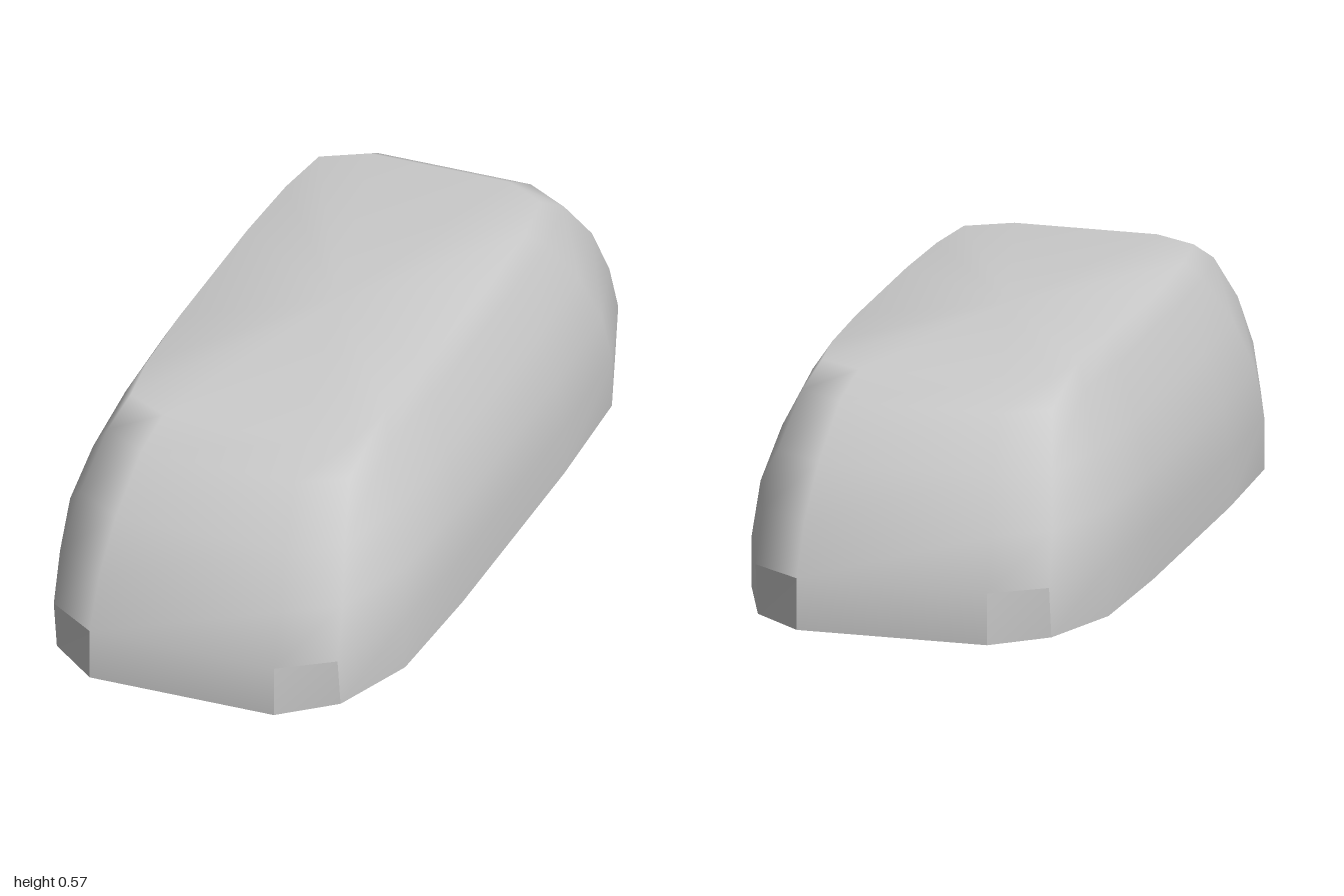
import * as THREE from 'three';

// Level heights: y, half width, half length, front-edge x, corner x
const LEVELS = [
  [0.00, 0.463, 1.00, 0.24, 0.37],
  [0.13, 0.463, 1.00, 0.24, 0.37],
  [0.26, 0.450, 0.95, 0.235, 0.365],
  [0.39, 0.408, 0.88, 0.22, 0.345],
  [0.515, 0.352, 0.765, 0.20, 0.315],
  [0.57, 0.320, 0.67, 0.18, 0.29],
];

// One closed outline of 16 points, counter-clockwise from above
function outline([y, w, l, edgeX, cornerX]) {
  const cornerZ = y === 0 ? 0.89 : 0.91 * l;
  const quarter = [[edgeX, l], [cornerX, cornerZ], [w * 0.972, l * 0.67], [w, l * 0.33]];
  const back = [...quarter].reverse();
  return [
    ...quarter.map(([x, z]) => [x, y, z]),
    ...back.map(([x, z]) => [x, y, -z]),
    ...quarter.map(([x, z]) => [-x, y, -z]),
    ...back.map(([x, z]) => [-x, y, z]),
  ];
}

function meshFrom(name, points, index) {
  const geometry = new THREE.BufferGeometry();
  geometry.setAttribute('position', new THREE.Float32BufferAttribute(points.flat(), 3));
  geometry.setIndex(index);
  geometry.computeVertexNormals();
  const mesh = new THREE.Mesh(geometry, new THREE.MeshStandardMaterial({ color: 0xcccccc }));
  mesh.name = name;
  return mesh;
}

export function createModel() {
  const model = new THREE.Group();
  model.name = 'roundedBody';

  const rings = LEVELS.map(outline);
  const n = rings[0].length;
  const cornerSides = [0, 6, 8, 14];

  // Smooth shell, leaving the four low corner panels open
  const points = rings.flat();
  const shell = [];
  for (let r = 0; r < rings.length - 1; r++) {
    for (let i = 0; i < n; i++) {
      if (r === 0 && cornerSides.includes(i)) continue;
      const j = (i + 1) % n;
      const a = r * n + i, b = r * n + j;
      shell.push(a, b, b + n, a, b + n, a + n);
    }
  }
  // Flat roof blended into the shell
  const top = (rings.length - 1) * n;
  points.push([0, LEVELS[LEVELS.length - 1][0], 0]);
  for (let i = 0; i < n; i++) shell.push(top + i, top + (i + 1) % n, points.length - 1);
  model.add(meshFrom('shell', points, shell));

  // Flat, hard-edged corner panels
  for (const i of cornerSides) {
    const j = (i + 1) % n;
    const quad = [rings[0][i], rings[0][j], rings[1][j], rings[1][i]];
    model.add(meshFrom('cornerPanel', quad, [0, 1, 2, 0, 2, 3]));
  }

  // Flat underside
  const floor = [];
  for (let i = 0; i < n; i++) floor.push((i + 1) % n, i, n);
  model.add(meshFrom('underside', [...rings[0], [0, 0, 0]], floor));

  return model;
}
